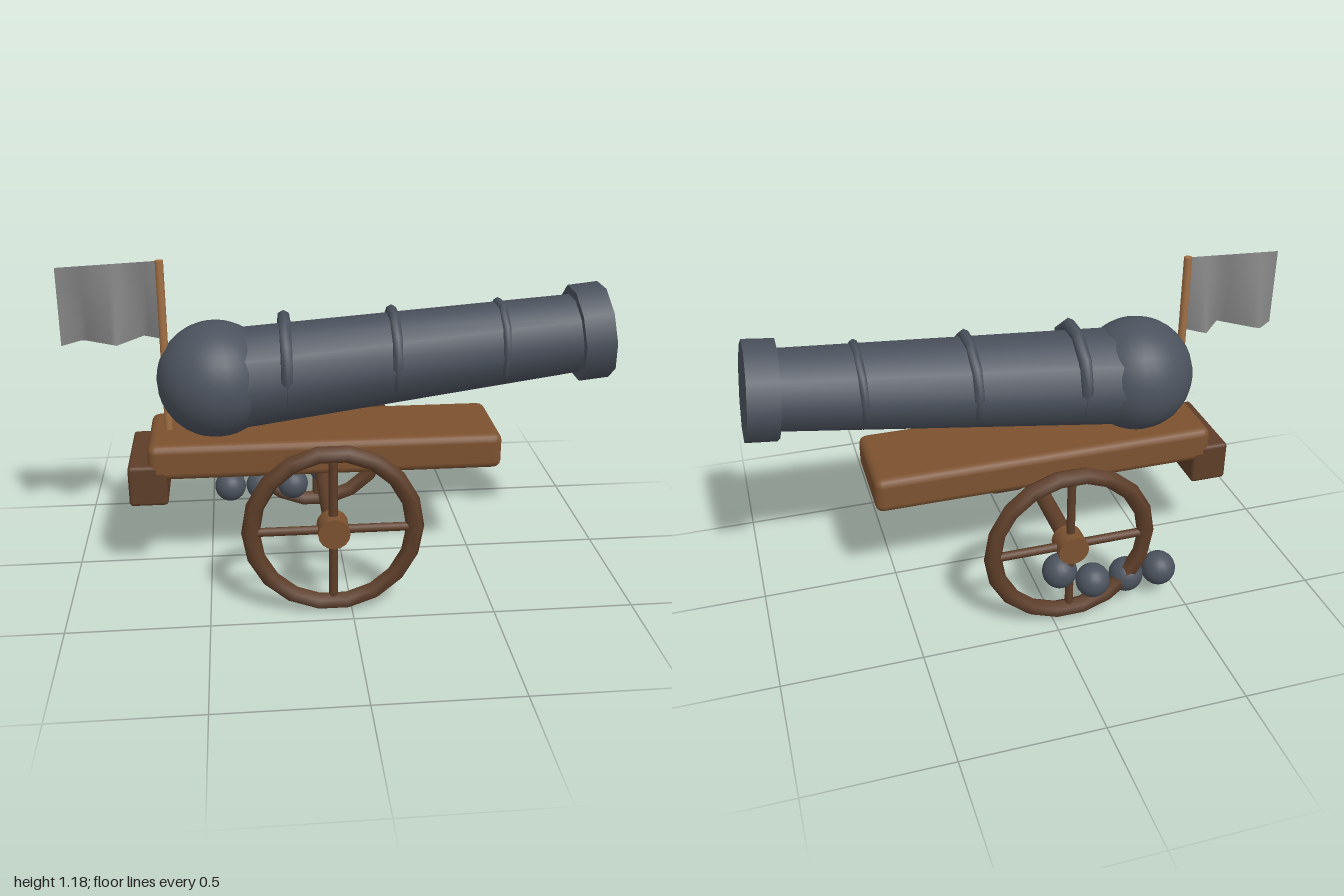
import * as THREE from 'three';
import { RoundedBoxGeometry } from 'three/addons/geometries/RoundedBoxGeometry.js';

const mat = (name, color, side = THREE.FrontSide) => {
  const m = new THREE.MeshStandardMaterial({ color, side });
  m.name = name;
  return m;
};

export function createModel() {
  const model = new THREE.Group();
  model.name = 'cannon';
  const iron = mat('iron', 0x4c535e);
  const wood = mat('wood', 0x7c5230);
  const darkWood = mat('darkWood', 0x5e3e29);
  const paleWood = mat('paleWood', 0xa37146);
  const cloth = mat('cloth', 0x858585, THREE.DoubleSide);

  const add = (name, geo, material, x = 0, y = 0, z = 0, parent = model) => {
    const mesh = new THREE.Mesh(geo, material);
    mesh.name = name;
    mesh.position.set(x, y, z);
    parent.add(mesh);
    return mesh;
  };

  // Barrel: ten-sided taper on a tilted axis, y = 0.782 + 0.109 x
  const axisY = (x) => 0.782 + 0.109 * x;
  const tilt = Math.atan(0.109);
  const barrelSection = (name, x0, x1, r0, r1) => {
    const geo = new THREE.CylinderGeometry(r1, r0, (x1 - x0) / Math.cos(tilt), 10);
    geo.rotateZ(tilt - Math.PI / 2);
    const x = (x0 + x1) / 2;
    add(name, geo, iron, x, axisY(x));
  };
  barrelSection('barrel', -0.45, 0.9, 0.187, 0.144);
  barrelSection('muzzle', 0.866, 0.977, 0.179, 0.179);
  add('breech', new THREE.SphereGeometry(0.214, 28, 18), iron, -0.458, 0.742);

  // Raised bands: x, centre y, outer radius, tube radius
  for (const [x, y, outer, tube] of [
    [-0.205, 0.795, 0.192, 0.024],
    [0.19, 0.82, 0.178, 0.02],
    [0.585, 0.853, 0.163, 0.016],
  ]) {
    const geo = new THREE.TorusGeometry(outer - tube, tube, 6, 10);
    geo.rotateY(Math.PI / 2);
    add('barrelBand', geo, iron, x, y);
  }

  // Carriage
  add('carriageBed', new RoundedBoxGeometry(1.29, 0.135, 0.356, 2, 0.03), wood, -0.065, 0.483);
  add('tailBlock', new RoundedBoxGeometry(0.14, 0.155, 0.356, 2, 0.014), darkWood, -0.713, 0.398);

  // Axle and wheels
  const wx = -0.065, wy = 0.323;
  add('axle', new THREE.CylinderGeometry(0.031, 0.031, 0.84, 12).rotateX(Math.PI / 2), darkWood, wx, wy);
  for (const side of [1, -1]) {
    const wheel = new THREE.Group();
    wheel.name = side > 0 ? 'frontWheel' : 'rearWheel';
    wheel.position.set(wx, wy, side * 0.42);
    model.add(wheel);
    add('rim', new THREE.TorusGeometry(0.287, 0.032, 6, 18), darkWood, 0, 0, 0, wheel);
    add('hub', new THREE.CylinderGeometry(0.056, 0.056, 0.086, 16).rotateX(Math.PI / 2), wood, 0, 0, 0, wheel);
    for (const angle of [0, Math.PI / 2]) {
      add('spoke', new THREE.CylinderGeometry(0.016, 0.016, 0.56, 8).rotateZ(angle), darkWood, 0, 0, 0, wheel);
    }
  }

  // Cannonballs behind the rear wheel
  for (const [x, y] of [[-0.425, 0.123], [-0.295, 0.123], [-0.165, 0.123], [-0.035, 0.195]]) {
    add('cannonball', new THREE.SphereGeometry(0.064, 20, 14), iron, x, y, -0.396);
  }

  // Flag pole
  add('flagPole', new THREE.CylinderGeometry(0.015, 0.015, 0.665, 10), paleWood, -0.638, 0.853);

  // Flag: straight top edge, waves growing toward the bottom
  const knots = [[-1, 0], [-0.93, -0.055], [-0.8, 0.045], [-0.71, -0.055], [-0.645, 0]];
  const wave = (x) => {
    for (let i = 1; i < knots.length; i++) {
      const [x0, z0] = knots[i - 1], [x1, z1] = knots[i];
      if (x <= x1 + 1e-5) return z0 + (z1 - z0) * (x - x0) / (x1 - x0);
    }
    return 0;
  };
  const flag = new THREE.PlaneGeometry(1, 1, 16, 5);
  const p = flag.attributes.position;
  for (let i = 0; i < p.count; i++) {
    const u = p.getX(i) + 0.5, drop = 0.5 - p.getY(i);
    const x = -1 + 0.355 * u;
    p.setXYZ(i, x, 1.167 + 0.017 * u - 0.285 * drop, wave(x) * drop);
  }
  flag.computeVertexNormals();
  add('flag', flag, cloth);

  return model;
}
